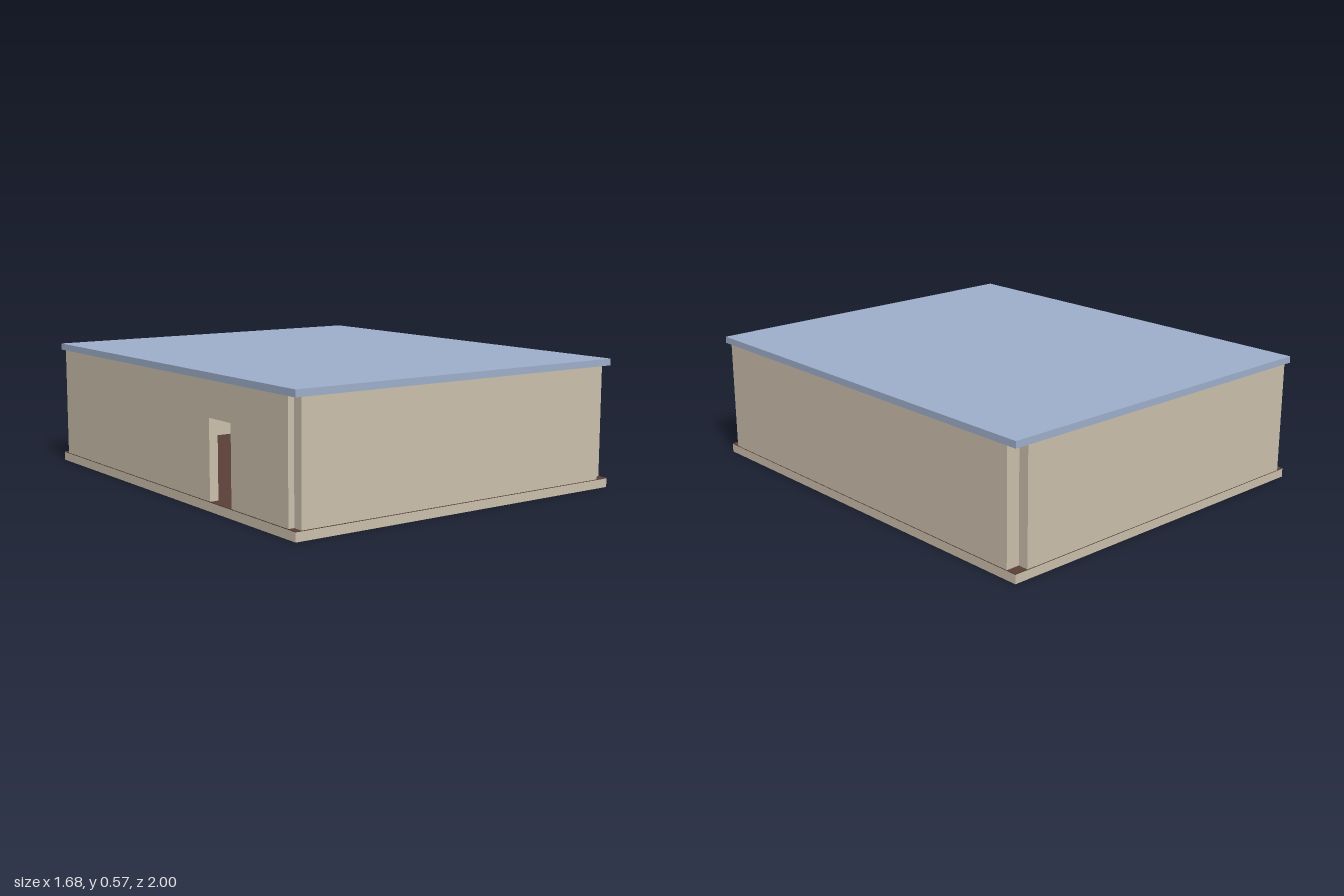
import * as THREE from 'three';

const beige = new THREE.MeshStandardMaterial({ name: 'beige wall', color: 0xcbbfac });
const blue = new THREE.MeshStandardMaterial({ name: 'blue roof', color: 0x9daeca });
const brown = new THREE.MeshStandardMaterial({ name: 'brown floor', color: 0x5a4038 });

// Outer half sizes and storey heights
const X = 0.84, Z = 1, FLOOR = 0.042, CEILING = 0.545, TOP = 0.575;
// Inner faces of the walls
const LEFT = 0.777, RIGHT = -0.8, END = 0.952;

// Box given by its two opposite corners
function block(name, material, [x0, y0, z0], [x1, y1, z1]) {
  const mesh = new THREE.Mesh(new THREE.BoxGeometry(x1 - x0, y1 - y0, z1 - z0), material);
  mesh.position.set((x0 + x1) / 2, (y0 + y1) / 2, (z0 + z1) / 2);
  mesh.name = name;
  return mesh;
}

// Side wall with a doorway, drawn in (z, y) and extruded along x
function doorWall() {
  const shape = new THREE.Shape();
  const points = [
    [-END, FLOOR], [0.385, FLOOR], [0.385, 0.39], [0.55, 0.39],
    [0.55, FLOOR], [END, FLOOR], [END, CEILING], [-END, CEILING],
  ];
  shape.setFromPoints(points.map(([z, y]) => new THREE.Vector2(-z, y)));
  const geometry = new THREE.ExtrudeGeometry(shape, { depth: X + RIGHT, bevelEnabled: false });
  geometry.rotateY(Math.PI / 2);
  geometry.translate(-X, 0, 0);
  const mesh = new THREE.Mesh(geometry, beige);
  mesh.name = 'doorWall';
  return mesh;
}

export function createModel() {
  const building = new THREE.Group();
  building.name = 'building';

  // Base slab with its floor covering
  building.add(block('baseSlab', beige, [-X, 0, -Z], [X, FLOOR - 0.003, Z]));
  building.add(block('floor', brown, [-X, FLOOR - 0.003, -Z], [X, FLOOR, Z]));

  // Walls stop short of the corners, leaving open notches
  building.add(block('frontWall', beige, [-0.813, FLOOR, END], [LEFT, CEILING, Z]));
  building.add(block('backWall', beige, [RIGHT, FLOOR, -Z], [LEFT, CEILING, -END]));
  building.add(block('solidSideWall', beige, [LEFT, FLOOR, -END], [X, CEILING, END]));
  building.add(doorWall());

  // Flat roof
  building.add(block('roof', blue, [-X, CEILING, -Z], [X, TOP, Z]));
  return building;
}
